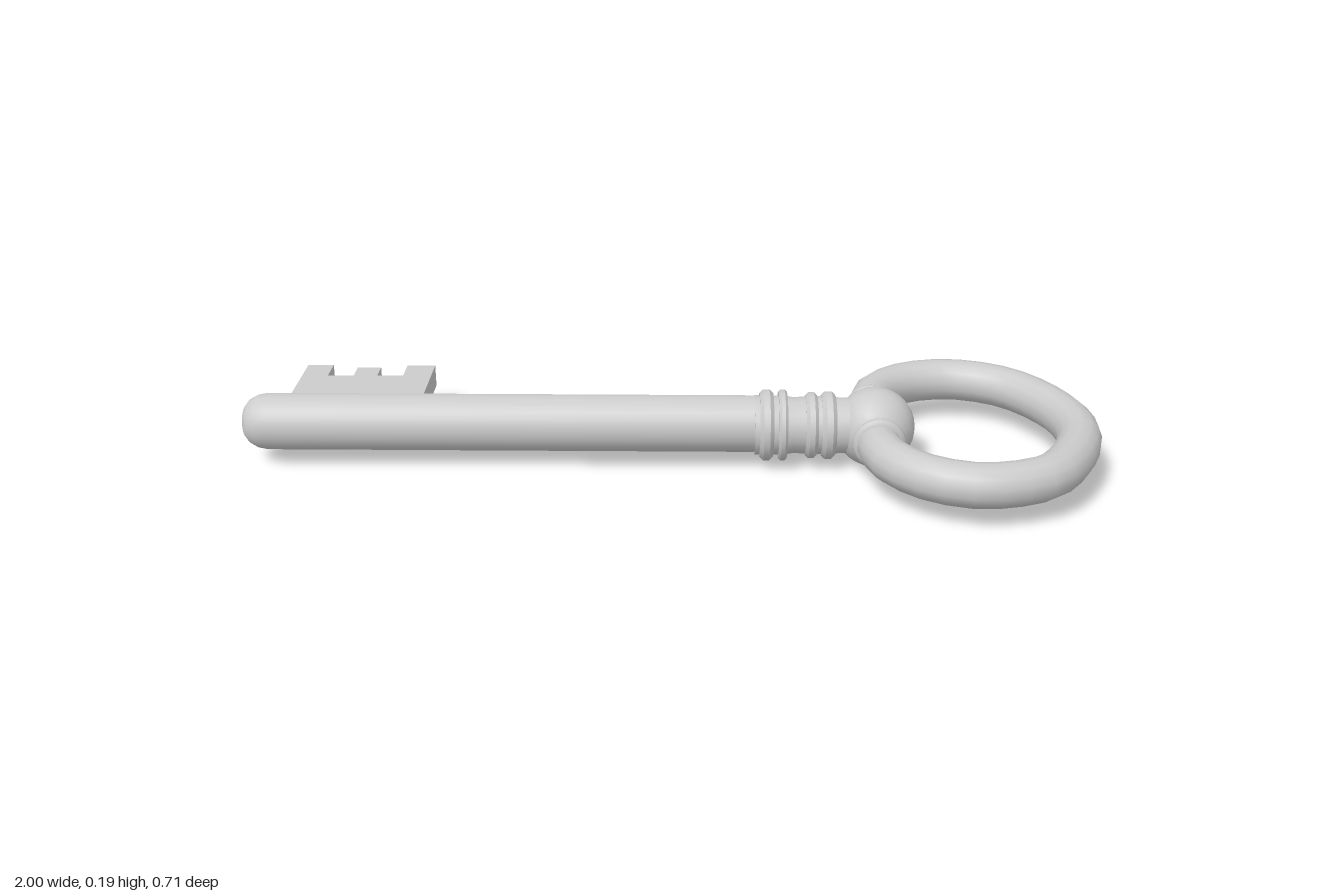
import * as THREE from 'three';
import { toCreasedNormals } from 'three/addons/utils/BufferGeometryUtils.js';

const AXIS_Y = 0.097, AXIS_Z = -0.013;
const material = new THREE.MeshStandardMaterial({ color: 0xcccccc });

export function createModel() {
  const key = new THREE.Group();
  key.name = 'key';

  const add = (name, geometry, x = 0, y = 0, z = 0) => {
    const mesh = new THREE.Mesh(geometry, material);
    mesh.name = name;
    mesh.position.set(x, y, z);
    key.add(mesh);
    return mesh;
  };

  // Turned part along x; profile is a list of [position along x, radius]
  const turned = (profile, segments = 24) => {
    const points = profile.map(([x, r]) => new THREE.Vector2(r, x));
    const geometry = new THREE.LatheGeometry(points, segments);
    geometry.rotateZ(-Math.PI / 2);
    return toCreasedNormals(geometry, 0.7);
  };

  // Disc with softened rims, centred on 0
  const collar = (width, radius) => {
    const h = width / 2, b = width * 0.28;
    return turned([[-h, 0], [-h, radius - b], [-h + b, radius], [h - b, radius], [h, radius - b], [h, 0]]);
  };

  // Shaft with rounded tip
  add('shaft', turned([
    [-1, 0], [-1, 0.036], [-0.988, 0.052], [-0.968, 0.063], [-0.945, 0.067], [0.22, 0.067], [0.22, 0],
  ]), 0, AXIS_Y + 0.003, AXIS_Z);

  // Neck between shaft and ball
  add('neck', turned([
    [0.2, 0], [0.2, 0.07], [0.27, 0.07], [0.29, 0.066], [0.34, 0.069], [0.4, 0.066], [0.47, 0.066], [0.47, 0],
  ]), 0, AXIS_Y, AXIS_Z);

  // Decorative rings around the neck
  [[0.227, 0.032, 0.084], [0.265, 0.02, 0.084], [0.332, 0.028, 0.078], [0.372, 0.033, 0.08]]
    .forEach(([x, width, radius]) => add('neckRing', collar(width, radius), x, AXIS_Y, AXIS_Z));

  // Ball joining the neck to the handle
  add('ball', new THREE.SphereGeometry(0.094, 20, 14), 0.482, 0.094, AXIS_Z);

  // Handle loop, slightly irregular, both ends buried in the ball
  const path = [
    [0.48, -0.05], [0.48, -0.115], [0.5, -0.206], [0.575, -0.281], [0.695, -0.311],
    [0.815, -0.27], [0.895, -0.18], [0.945, -0.056], [0.948, 0.05], [0.9, 0.174],
    [0.826, 0.265], [0.687, 0.305], [0.58, 0.27], [0.505, 0.19], [0.48, 0.1], [0.48, 0.03],
  ].map(([x, z]) => new THREE.Vector3(x, 0.095, z));
  add('handleLoop', new THREE.TubeGeometry(new THREE.CatmullRomCurve3(path), 32, 0.051, 14, false));

  // Collars where the loop leaves the ball
  for (const z of [-0.115, 0.088]) {
    add('loopCollar', new THREE.TorusGeometry(0.046, 0.016, 10, 24), 0.482, 0.096, z);
  }

  // Flat toothed bit
  const outline = [
    [-0.88, 0], [-0.639, 0], [-0.639, 0.126], [-0.596, 0.126], [-0.596, 0.313], [-0.666, 0.313],
    [-0.666, 0.243], [-0.73, 0.243], [-0.73, 0.297], [-0.789, 0.297], [-0.789, 0.243],
    [-0.853, 0.243], [-0.853, 0.313], [-0.917, 0.313], [-0.917, 0.126], [-0.88, 0.126],
  ].map(([x, y]) => new THREE.Vector2(x, y));
  const bit = new THREE.ExtrudeGeometry(new THREE.Shape(outline), { depth: 0.054, bevelEnabled: false });
  bit.rotateX(-Math.PI / 2);
  add('bit', bit, 0, AXIS_Y - 0.027, 0);

  return key;
}
